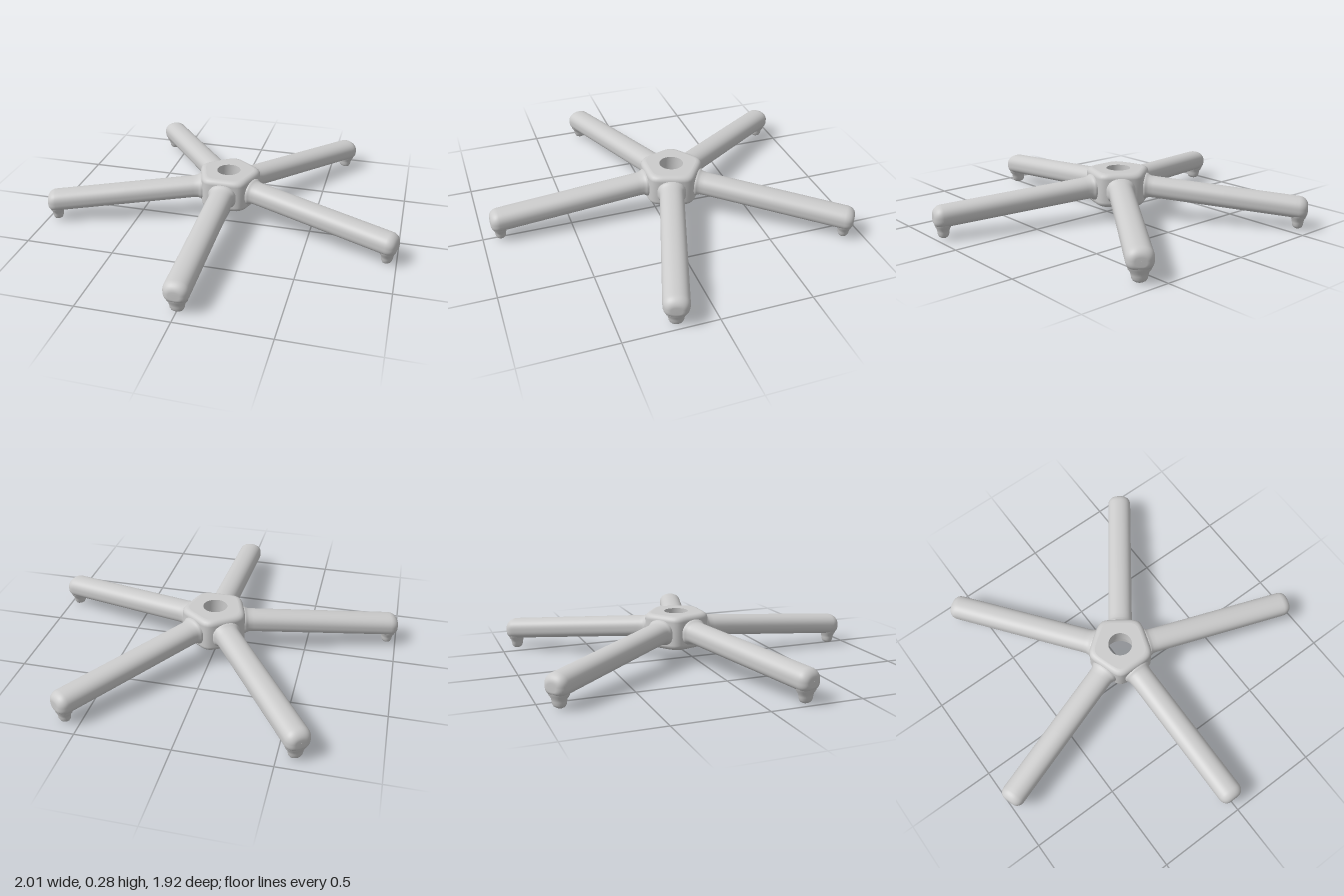
import * as THREE from 'three';
import { mergeGeometries } from 'three/addons/utils/BufferGeometryUtils.js';

const N = 60; // points around each ring

// Skins a list of rings (each an array of N Vector3) into one smooth surface.
function loft(rings) {
  const pos = [], idx = [];
  rings.forEach(r => r.forEach(p => pos.push(p.x, p.y, p.z)));
  for (let i = 0; i < rings.length - 1; i++) {
    for (let j = 0; j < N; j++) {
      const k = (j + 1) % N;
      const a = i * N + j, b = i * N + k, c = a + N, d = b + N;
      idx.push(a, b, d, a, d, c);
    }
  }
  const g = new THREE.BufferGeometry();
  g.setAttribute('position', new THREE.Float32BufferAttribute(pos, 3));
  g.setIndex(idx);
  g.computeVertexNormals();
  return g;
}

const ring = fn => Array.from({ length: N }, (_, j) => fn((j / N) * Math.PI * 2));

// Rounded pentagon of the given apothem, flats facing the legs (first flat at +z).
function pentagon(apothem, y) {
  return ring(t => {
    let sum = 0;
    for (let i = 0; i < 5; i++) sum += Math.max(0, Math.cos(t - i * Math.PI * 0.4)) ** 8;
    const r = apothem / sum ** (1 / 8);
    return new THREE.Vector3(r * Math.sin(t), y, r * Math.cos(t));
  });
}
const circle = (r, y) => ring(t => new THREE.Vector3(r * Math.sin(t), y, r * Math.cos(t)));

function hubGeometry() {
  const outer = [];
  const edge = 0.03;
  for (let i = 0; i <= 6; i++) { // lower rounded edge
    const a = (i / 6) * Math.PI / 2;
    outer.push(pentagon(0.16 - edge + edge * Math.sin(a), 0.09 + edge - edge * Math.cos(a)));
  }
  for (let i = 0; i <= 6; i++) { // upper rounded edge
    const a = (i / 6) * Math.PI / 2;
    outer.push(pentagon(0.16 - edge + edge * Math.cos(a), 0.28 - edge + edge * Math.sin(a)));
  }
  return mergeGeometries([
    loft(outer),
    loft([pentagon(0.13, 0.28), circle(0.067, 0.28)]),  // top face
    loft([circle(0.067, 0.28), circle(0.067, 0.2)]),    // bore
    loft([circle(0.067, 0.2), circle(0.095, 0.2)]),     // step
    loft([circle(0.095, 0.2), circle(0.095, 0.09)]),    // wider lower socket
    loft([circle(0.095, 0.09), pentagon(0.13, 0.09)]),  // bottom face
  ]);
}

// Leg section at distance s: domed top, flatter underside.
function section(s, w, up, down) {
  const y0 = 0.2 - 0.08 * s;
  const curve = (v, n) => Math.sign(v) * Math.abs(v) ** (2 / n);
  return ring(t => {
    const sy = Math.sin(t), n = sy > 0 ? 2.2 : 3;
    return new THREE.Vector3(-w * curve(Math.cos(t), n), y0 + (sy > 0 ? up : down) * curve(sy, n), s);
  }).reverse();
}

function legGeometry() {
  const rings = [];
  // small fillet where the leg leaves the hub, then a straight run
  [[0.12, 0.012], [0.162, 0.012], [0.17, 0.006], [0.185, 0.001], [0.21, 0], [0.6, 0], [0.98, 0]]
    .forEach(([s, f]) => rings.push(section(s, 0.068 + f, 0.057 + f, 0.057 + f)));
  // rounded tip
  for (let i = 0; i <= 8; i++) {
    const a = (i / 8) * Math.PI / 2, c = 1 - Math.cos(a);
    rings.push(section(1.0 + 0.046 * Math.sin(a), 0.068 - 0.04 * c, 0.057 - 0.04 * c, 0.057 - 0.03 * c));
  }
  rings.push(section(1.046, 0.001, 0.001, 0.001));
  return loft(rings);
}

function footGeometry() {
  const profile = [[0, 0], [0.014, 0.002], [0.024, 0.009], [0.029, 0.02], [0.031, 0.035],
    [0.034, 0.05], [0.042, 0.064], [0.046, 0.08]].map(p => new THREE.Vector2(...p));
  return new THREE.LatheGeometry(profile, 32).scale(1.3, 1, 1);
}

export function createModel() {
  const model = new THREE.Group();
  model.name = 'fiveLegBase';
  const material = new THREE.MeshStandardMaterial({ color: 0xcccccc, side: THREE.DoubleSide });
  const add = (parent, name, geometry) => {
    const mesh = new THREE.Mesh(geometry, material);
    mesh.name = name;
    parent.add(mesh);
    return mesh;
  };

  const base = new THREE.Group();
  base.name = 'base';
  base.position.z = -0.097;
  model.add(base);

  add(base, 'hub', hubGeometry());

  // five legs, each with a foot under its tip
  const legGeo = legGeometry(), footGeo = footGeometry();
  for (let i = 0; i < 5; i++) {
    const arm = new THREE.Group();
    arm.name = 'arm' + (i + 1);
    arm.rotation.y = i * Math.PI * 0.4;
    base.add(arm);
    add(arm, 'leg', legGeo);
    add(arm, 'foot', footGeo).position.z = 0.997;
  }
  return model;
}
